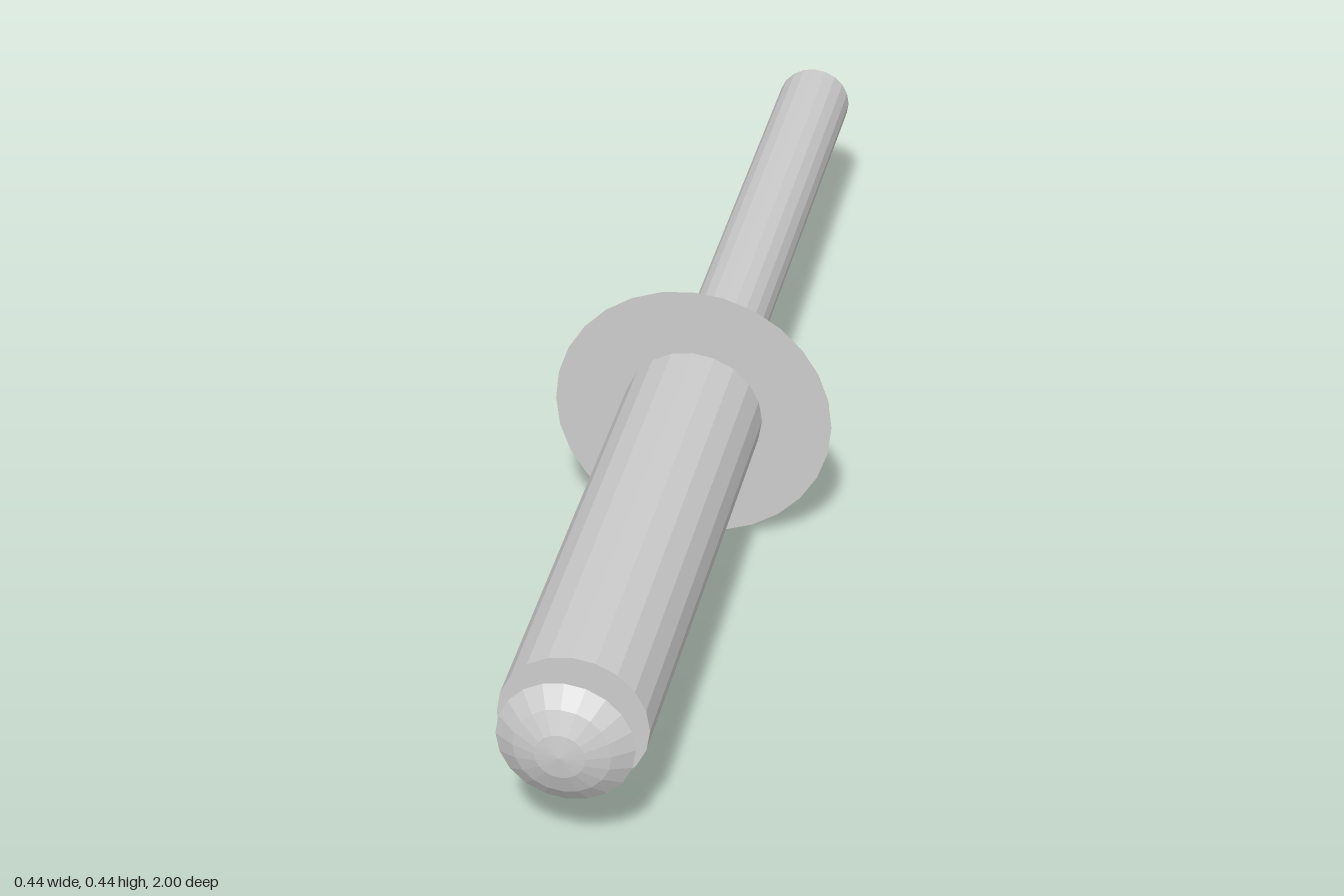
import * as THREE from 'three';

const AXIS_HEIGHT = 0.22;

// Solid of revolution about z; profile is [radius, z] pairs from back to front
function turned(name, profile, sides) {
  const points = profile.map(([r, z]) => new THREE.Vector2(r, z));
  const geometry = new THREE.LatheGeometry(points, sides).rotateX(Math.PI / 2);
  const material = new THREE.MeshStandardMaterial({ color: 0xcccccc, flatShading: true });
  const mesh = new THREE.Mesh(geometry, material);
  mesh.name = name;
  mesh.position.y = AXIS_HEIGHT;
  return mesh;
}

export function createModel() {
  const rivet = new THREE.Group();
  rivet.name = 'blindRivet';

  // Long pulling pin with a conical tip
  rivet.add(turned('mandrel', [[0, -1], [0.062, -0.95], [0.062, 0.05], [0, 0.05]], 20));

  // Domed flange: flat back, rounded shoulder, flat seat
  const flange = [[0, 0.043]];
  const steps = 5;
  for (let i = 0; i <= steps; i++) {
    const a = (i / steps) * Math.PI / 3;
    flange.push([0.12 + 0.1 * Math.sin(a) / Math.sin(Math.PI / 3), 0.043 + 0.057 * (1 - Math.cos(a)) * 2]);
  }
  flange.push([0, 0.1]);
  rivet.add(turned('flange', flange, 28));

  // Cylindrical sleeve
  rivet.add(turned('sleeve', [[0, 0.09], [0.11, 0.09], [0.11, 0.913], [0, 0.913]], 20));

  // Short neck between sleeve and head
  rivet.add(turned('neck', [[0, 0.905], [0.055, 0.905], [0.055, 0.965], [0, 0.965]], 20));

  // Head: a spherical cap with a flat underside
  const radius = 0.145, spread = Math.asin(0.1 / radius);
  const head = [[0, 0.96]];
  for (let i = 3; i >= 0; i--) {
    const a = (i / 3) * spread;
    head.push([radius * Math.sin(a), 1 - radius * (1 - Math.cos(a))]);
  }
  rivet.add(turned('mandrelHead', head, 20));

  return rivet;
}
